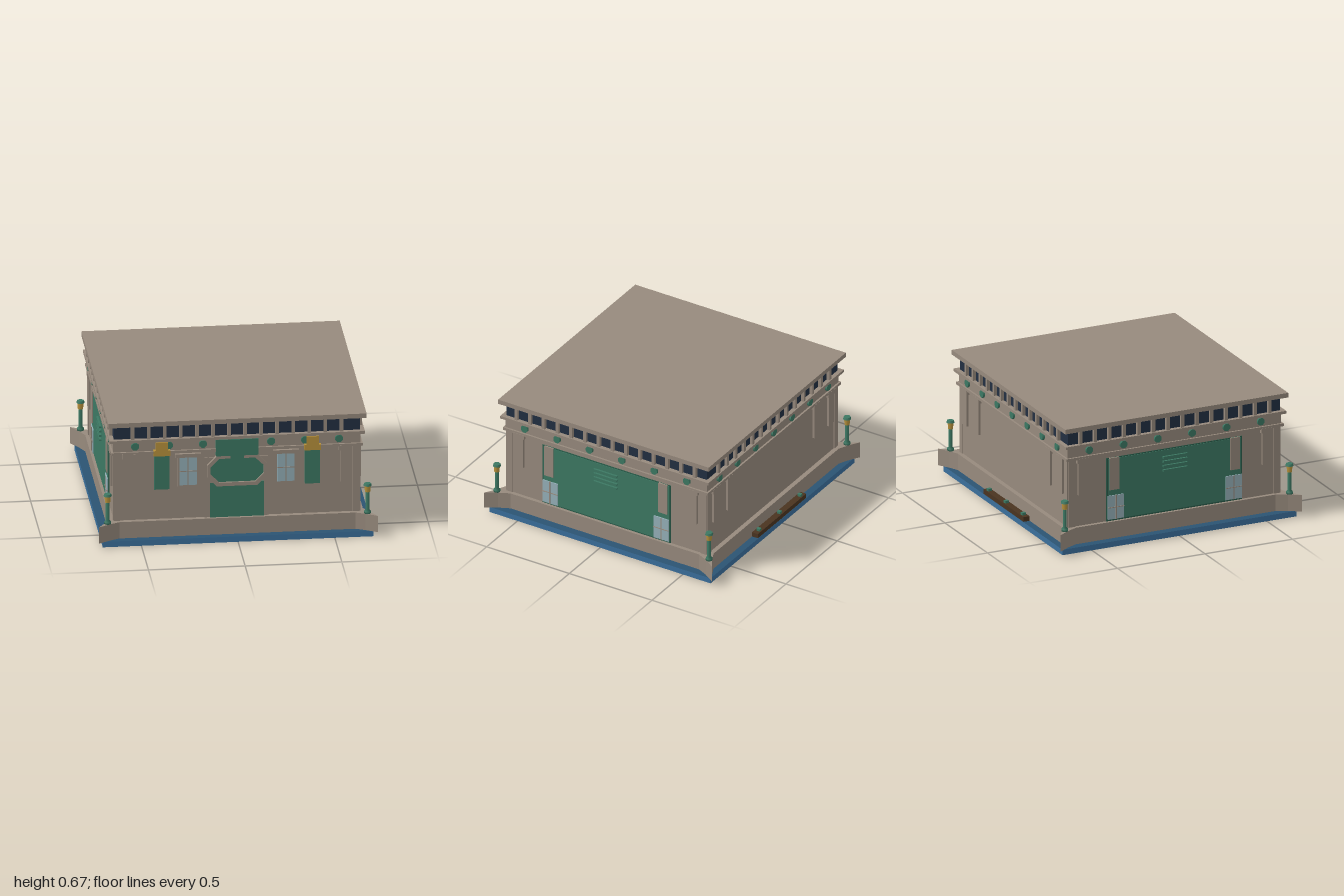
import * as THREE from 'three';

const mat = (name, color, side = THREE.FrontSide) => {
  const m = new THREE.MeshStandardMaterial({ color, side });
  m.name = name;
  return m;
};

export function createModel() {
  const stone = mat('stone', 0x978a7d);
  const green = mat('green', 0x3c7863);
  const darkGreen = mat('dark green', 0x2a5c4a);
  const navy = mat('navy glass', 0x222f42);
  const glass = mat('pale glass', 0x95b0b8);
  const gold = mat('gold', 0xb8923c);
  const brown = mat('brown wood', 0x4a3420);
  const blue = mat('blue', 0x3a6f9c, THREE.DoubleSide);
  const deepBlue = mat('deep blue', 0x2b5472, THREE.DoubleSide);

  const model = new THREE.Group();
  model.name = 'building';

  const add = (parent, name, geo, material, x = 0, y = 0, z = 0) => {
    const m = new THREE.Mesh(geo, material);
    m.name = name;
    m.position.set(x, y, z);
    parent.add(m);
    return m;
  };
  // Box given by its extents [x0,x1] [y0,y1] [z0,z1]
  const box = (parent, name, material, x0, x1, y0, y1, z0, z1) =>
    add(parent, name, new THREE.BoxGeometry(x1 - x0, y1 - y0, z1 - z0), material,
      (x0 + x1) / 2, (y0 + y1) / 2, (z0 + z1) / 2);
  // Centred storey slab by half width and half depth
  const slab = (name, material, hx, hz, y0, y1) =>
    box(model, name, material, -hx, hx, y0, y1, -hz, hz);
  const polygon = (pts) => new THREE.Shape(pts.map(([x, y]) => new THREE.Vector2(x, y)));
  const extrude = (shape, depth) =>
    new THREE.ExtrudeGeometry(shape, { depth, bevelEnabled: false });

  // Base: a shallow blue skirt with a dark ledge, open underneath
  const ledge = polygon([[-0.7, -0.668], [0.7, -0.668], [0.7, 0.668], [-0.7, 0.668]]);
  ledge.holes.push(polygon([[-0.65, -0.62], [0.65, -0.62], [0.65, 0.62], [-0.65, 0.62]]));
  add(model, 'baseLedge', new THREE.ShapeGeometry(ledge), deepBlue, 0, 0.029, 0).rotation.x = -Math.PI / 2;
  for (const s of [-1, 1]) {
    add(model, 'baseSkirt', new THREE.PlaneGeometry(1.4, 0.03), blue, 0, 0.015, s * 0.668);
    add(model, 'baseSkirt', new THREE.PlaneGeometry(1.336, 0.03), blue, s * 0.7, 0.015, 0).rotation.y = Math.PI / 2;
  }

  // Plinth with corners drawn out to points
  const quarter = [[0.655, 0.57], [0.682, 0.628], [0.722, 0.69], [0.66, 0.653], [0.61, 0.63]];
  const flip = (sx, sy, reverse) => {
    const p = quarter.map(([x, y]) => [x * sx, y * sy]);
    return reverse ? p.reverse() : p;
  };
  const plinthShape = polygon([
    ...flip(1, 1, false), ...flip(-1, 1, true), ...flip(-1, -1, false), ...flip(1, -1, true)]);
  add(model, 'plinth', extrude(plinthShape, 0.09), stone, 0, 0.03, 0).rotation.x = -Math.PI / 2;

  // Stacked storeys
  slab('walls', stone, 0.635, 0.605, 0.12, 0.49);
  slab('wallMoulding', stone, 0.65, 0.62, 0.485, 0.5);
  slab('frieze', stone, 0.64, 0.61, 0.5, 0.555);
  slab('cornice', stone, 0.66, 0.63, 0.555, 0.57);
  slab('clerestory', navy, 0.636, 0.606, 0.57, 0.645);
  slab('roof', stone, 0.668, 0.637, 0.645, 0.67);

  // Each facade is built facing +z, with z = 0 on the wall surface
  const facade = (name, angle, dist) => {
    const g = new THREE.Group();
    g.name = name;
    g.rotation.y = angle;
    g.position.set(Math.sin(angle) * dist, 0, Math.cos(angle) * dist);
    model.add(g);
    return g;
  };
  const front = facade('frontFacade', 0, 0.605);
  const back = facade('backFacade', Math.PI, 0.605);
  const leftSide = facade('leftFacade', Math.PI / 2, 0.635);
  const rightSide = facade('rightFacade', -Math.PI / 2, 0.635);

  const medallion = new THREE.CylinderGeometry(0.021, 0.021, 0.014, 8);
  medallion.rotateY(Math.PI / 8).rotateX(Math.PI / 2);
  const trim = (g, half, medallions) => {
    for (let i = 0; i < 14; i++) {
      const x = (i - 6.5) * 0.083;
      box(g, 'clerestoryMullion', stone, x - 0.009, x + 0.009, 0.57, 0.645, 0, 0.018);
    }
    for (const x of medallions) add(g, 'medallion', medallion, green, x, 0.53, 0.01);
    for (const s of [-1, 1]) {
      const edge = s * (half - 0.018);
      box(g, 'cornerPier', stone, edge - 0.018, edge + 0.018, 0.12, 0.49, -0.01, 0.005);
    }
  };
  const pilaster = (g, x, top = 0.49) => {
    box(g, 'pilaster', stone, x - 0.026, x + 0.026, 0.29, top, 0, 0.012);
    box(g, 'pilasterCap', stone, x - 0.034, x + 0.034, top - 0.025, top, 0, 0.016);
  };
  // Glazing with a border and crossing bars
  const window = (g, x, y0, y1, w, z, rows, bar) => {
    box(g, 'windowGlass', glass, x - w / 2, x + w / 2, y0, y1, z, z + 0.005);
    box(g, 'windowBar', bar, x - 0.003, x + 0.003, y0, y1, z, z + 0.008);
    for (let i = 1; i < rows; i++) {
      const y = y0 + ((y1 - y0) * i) / rows;
      box(g, 'windowBar', bar, x - w / 2, x + w / 2, y - 0.002, y + 0.002, z, z + 0.008);
    }
  };

  const longRow = [-0.527, -0.352, -0.176, 0, 0.176, 0.352, 0.527];
  const sideRow = [-0.49, -0.294, -0.098, 0.098, 0.294, 0.49];
  trim(front, 0.635, longRow);
  trim(back, 0.635, longRow);
  trim(leftSide, 0.605, sideRow);
  trim(rightSide, 0.605, sideRow);

  // Sides: large green shutter with corner windows and vent slats
  for (const g of [leftSide, rightSide]) {
    box(g, 'shutterFrame', darkGreen, -0.388, 0.388, 0.12, 0.465, 0, 0.004);
    box(g, 'shutter', green, -0.38, 0.38, 0.128, 0.46, 0, 0.007);
    for (let i = 0; i < 4; i++) {
      const y = 0.345 + i * 0.024;
      box(g, 'ventSlat', green, -0.07, 0.07, y, y + 0.01, 0.005, 0.018);
    }
    for (const s of [-1, 1]) {
      pilaster(g, s * 0.525);
      box(g, 'shutterPilaster', stone, s * 0.345 - 0.027, s * 0.345 + 0.027, 0.29, 0.465, 0, 0.012);
      window(g, s * 0.336, 0.13, 0.26, 0.092, 0.007, 2, stone);
    }
  }

  // Back: plain wall with pilasters
  for (const s of [-1, 1]) {
    pilaster(back, s * 0.56);
    pilaster(back, s * 0.42);
  }

  // Front: windows, banners and pilasters
  for (const s of [-1, 1]) {
    pilaster(front, s * 0.56);
    const x = s * 0.253;
    box(front, 'windowFrame', stone, x - 0.055, x + 0.055, 0.295, 0.465, 0, 0.006);
    box(front, 'windowHead', stone, x - 0.067, x + 0.067, 0.46, 0.48, 0, 0.018);
    window(front, x, 0.305, 0.46, 0.09, 0.006, 2, stone);
    const b = s * 0.39;
    box(front, 'banner', green, b - 0.039, b + 0.039, 0.29, 0.49, 0, 0.02);
    box(front, 'bannerBracket', gold, b - 0.032, b + 0.032, 0.495, 0.555, 0, 0.032);
    box(front, 'bannerBracketFoot', gold, b - 0.043, b + 0.043, 0.477, 0.507, 0, 0.028);
  }

  // Entrance: door, octagonal transom in a stone frame, sign above
  box(front, 'doorSurround', stone, -0.167, 0.167, 0.12, 0.45, 0, 0.006);
  box(front, 'door', green, -0.14, 0.14, 0.12, 0.31, 0, 0.011);
  const octagon = (w, y0, y1, c) => polygon([
    [-w + c, y0], [w - c, y0], [w, y0 + c], [w, y1 - c],
    [w - c, y1], [-w + c, y1], [-w, y1 - c], [-w, y0 + c]]);
  const frame = octagon(0.155, 0.295, 0.462, 0.05);
  frame.holes.push(octagon(0.138, 0.315, 0.447, 0.045));
  add(front, 'transomFrame', extrude(frame, 0.022), stone);
  add(front, 'transom', extrude(octagon(0.138, 0.315, 0.447, 0.045), 0.012), green);
  box(front, 'signBoard', green, -0.11, 0.11, 0.465, 0.555, 0, 0.03);
  box(front, 'signDrop', green, -0.035, 0.035, 0.437, 0.47, 0, 0.028);

  // Corner lamp posts
  const postProfile = [[0, 0], [0.018, 0], [0.018, 0.012], [0.01, 0.02], [0.01, 0.12], [0, 0.12]];
  const lathe = (pts) => new THREE.LatheGeometry(pts.map(([x, y]) => new THREE.Vector2(x, y)), 8);
  for (const sx of [-1, 1]) for (const sz of [-1, 1]) {
    const lamp = new THREE.Group();
    lamp.name = 'lampPost';
    lamp.position.set(sx * 0.672, 0.12, sz * 0.642);
    add(lamp, 'post', lathe(postProfile), green);
    add(lamp, 'lantern', new THREE.CylinderGeometry(0.016, 0.014, 0.035, 8), gold, 0, 0.137, 0);
    add(lamp, 'lampCap', new THREE.CylinderGeometry(0.018, 0.022, 0.012, 8), green, 0, 0.159, 0);
    model.add(lamp);
  }

  // Low wooden rail on the ledge behind, with three green studs
  box(model, 'backRail', brown, -0.235, 0.235, 0.03, 0.055, -0.666, -0.63);
  for (const x of [-0.2, 0, 0.2])
    box(model, 'railStud', green, x - 0.009, x + 0.009, 0.03, 0.068, -0.66, -0.64);

  // Underside
  const floor = add(model, 'underside', new THREE.PlaneGeometry(1.31, 1.26), stone, 0, 0.027, 0);
  floor.rotation.x = Math.PI / 2;

  return model;
}
